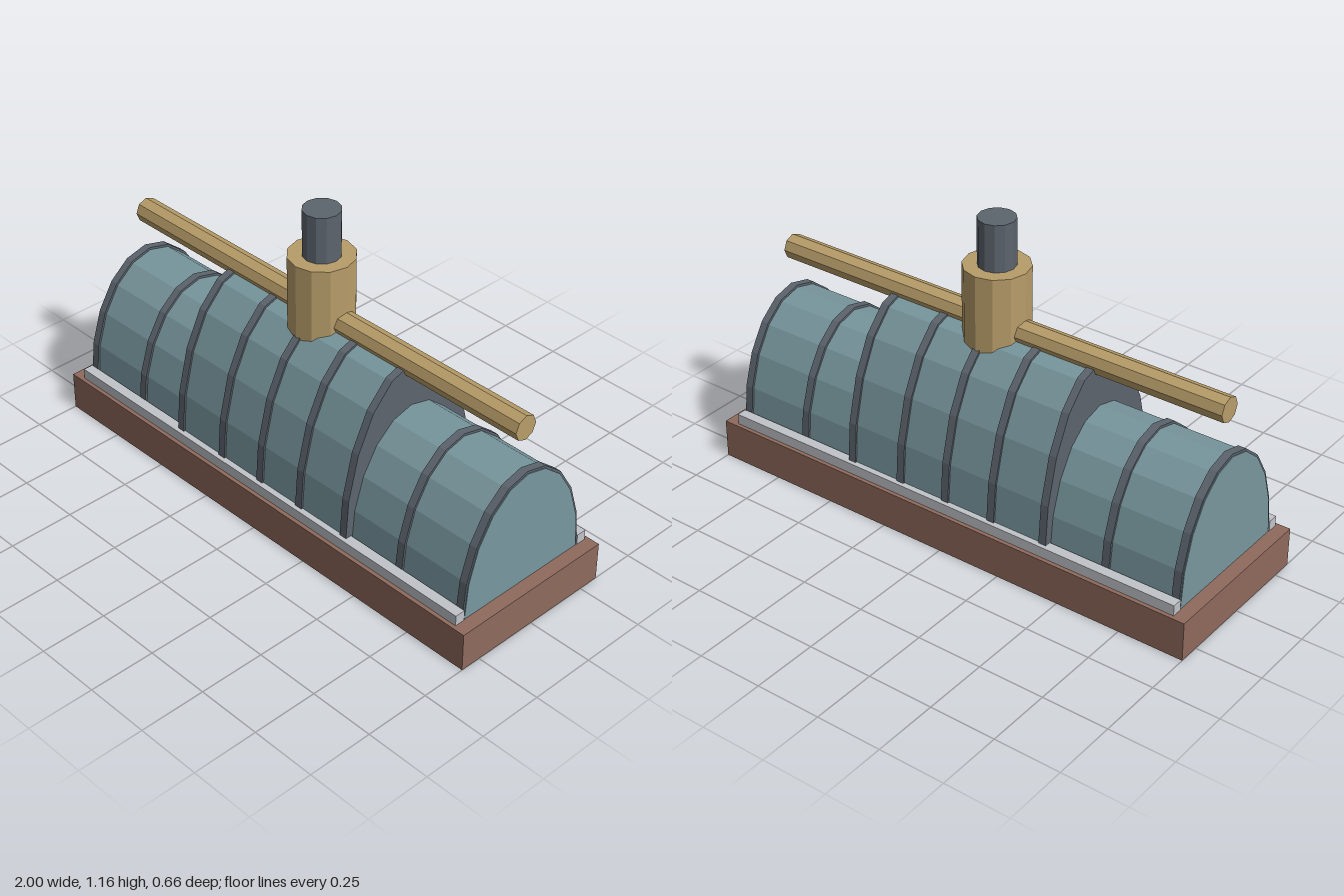
import * as THREE from 'three';

const mat = (name, color) => {
  const m = new THREE.MeshStandardMaterial({ color, flatShading: true });
  m.name = name;
  return m;
};

export function createModel() {
  const model = new THREE.Group();
  model.name = 'vaultedHall';
  const brick = mat('brick red', 0x8f6a5c);
  const stone = mat('pale stone', 0xc0c4c9);
  const teal = mat('dusty teal', 0x78979e);
  const steel = mat('dark steel', 0x5c646d);
  const brass = mat('brass', 0xb89d69);

  const BASE = 0.148;

  function add(name, geometry, material, x = 0, y = 0, z = 0) {
    const mesh = new THREE.Mesh(geometry, material);
    mesh.name = name;
    mesh.position.set(x, y, z);
    model.add(mesh);
    return mesh;
  }

  // Solid half-elliptical arch with ten facets, running along x
  function arch(name, halfWidth, height, length, material, x = 0) {
    const points = [];
    for (let i = 0; i <= 10; i++) {
      const a = (i / 10) * Math.PI;
      points.push(new THREE.Vector2(Math.cos(a) * halfWidth, Math.sin(a) * height));
    }
    const geometry = new THREE.ExtrudeGeometry(new THREE.Shape(points), {
      depth: length, bevelEnabled: false,
    });
    geometry.translate(0, 0, -length / 2).rotateY(Math.PI / 2);
    return add(name, geometry, material, x, BASE, 0);
  }

  // Plinth and the sills along both long sides
  add('plinth', new THREE.BoxGeometry(2, BASE, 0.66), brick, 0, BASE / 2, 0);
  for (const s of [1, -1]) {
    add('sill', new THREE.BoxGeometry(1.9, 0.04, 0.04), stone, 0, BASE + 0.02, s * 0.295);
  }

  // Low vault and the tall middle vault
  arch('lowVault', 0.272, 0.443, 1.896, teal);
  arch('tallVault', 0.295, 0.605, 0.84, teal);

  // Ribs
  for (const x of [-0.93, -0.655, 0.655, 0.93]) arch('lowRib', 0.28, 0.452, 0.03, steel, x);
  for (const x of [-0.415, -0.197, 0, 0.197, 0.415]) arch('tallRib', 0.302, 0.613, 0.03, steel, x);

  // Ridge pipe
  add('ridgePipe', new THREE.CylinderGeometry(0.047, 0.047, 1.85, 8).rotateZ(Math.PI / 2), brass, 0, 0.76, 0);

  // Chimney collar and stack
  add('chimneyCollar', new THREE.CylinderGeometry(0.12, 0.12, 0.345, 12), brass, 0, 0.8125, 0);
  add('chimneyStack', new THREE.CylinderGeometry(0.068, 0.068, 0.2, 12), steel, 0, 1.06, 0);

  return model;
}
